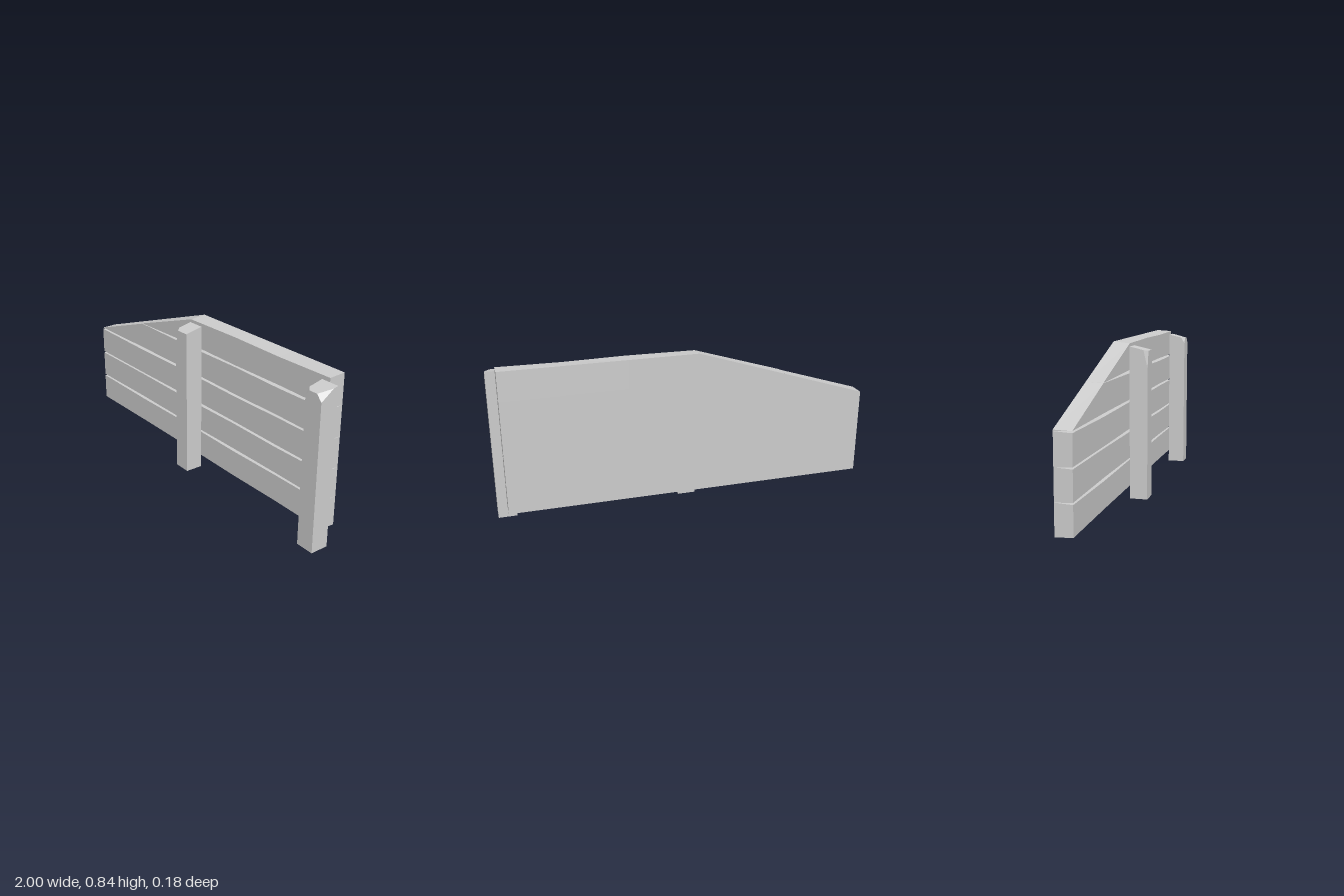
import * as THREE from 'three';
import { ConvexGeometry } from 'three/addons/geometries/ConvexGeometry.js';

const BACK = -0.092, FRONT = -0.005;
const material = new THREE.MeshStandardMaterial({ color: 0xcccccc, flatShading: true });

// Sloping cut across the top of the boards
const cutHeight = (x) => Math.min(0.84, 0.535 + (x + 1) * 0.328);

// Board lofted along x; its front edges draw in a little, leaving a wedge-shaped gap
function boardGeometry(low, high, stations, index) {
  const sections = stations.map((x, i) => {
    const middle = i > 0 && i < stations.length - 1;
    const gapTop = 0.005 + (middle && (i + index) % 2 ? 0.004 : 0);
    const gapLow = 0.005 + (middle && (i + index) % 3 ? 0.003 : 0);
    const top = Math.min(high, cutHeight(x));
    const frontTop = Math.min(high - gapTop, cutHeight(x) - 0.003);
    const frontLow = Math.min(low + gapLow, frontTop);
    return [[x, low, BACK], [x, top, BACK], [x, frontTop, FRONT], [x, frontLow, FRONT]];
  });
  const points = [];
  const quad = (a, b, c, d) => points.push(...a, ...b, ...c, ...a, ...c, ...d);
  for (let i = 0; i < sections.length - 1; i++) {
    const a = sections[i], b = sections[i + 1];
    for (let j = 0; j < 4; j++) {
      const k = (j + 1) % 4;
      quad(a[j], a[k], b[k], b[j]);
    }
  }
  const first = sections[0], last = sections[sections.length - 1];
  quad(first[3], first[2], first[1], first[0]);
  quad(...last);
  const geometry = new THREE.BufferGeometry();
  geometry.setAttribute('position', new THREE.Float32BufferAttribute(points, 3));
  geometry.computeVertexNormals();
  return geometry;
}

// Square post with a sloping top and chipped front corners
function postGeometry(x0, x1, leftChip, rightChip) {
  const z0 = -0.004, z1 = 0.092;
  const topAt = (z) => 0.815 - (z - z0) * 0.229;
  const points = [];
  const add = (x, y, z) => points.push(new THREE.Vector3(x, y, z));
  for (const x of [x0, x1]) {
    add(x, 0, z0);
    add(x, 0, z1);
    add(x, topAt(z0), z0);
  }
  // Each chip replaces one corner by three points: across, down and back
  for (const [x, side, chip] of [[x0, 1, leftChip], [x1, -1, rightChip]]) {
    if (!chip) { add(x, topAt(z1), z1); continue; }
    const [across, down, back] = chip;
    add(x + side * across, topAt(z1), z1);
    add(x, topAt(z1) - down, z1);
    add(x, topAt(z1 - back), z1 - back);
  }
  return new ConvexGeometry(points);
}

export function createModel() {
  const group = new THREE.Group();
  const add = (name, geometry) => {
    const mesh = new THREE.Mesh(geometry, material);
    mesh.name = name;
    group.add(mesh);
  };

  // Five stacked boards, the upper two cut by the slope
  const levels = [0.062, 0.217, 0.372, 0.528, 0.684, 0.84];
  const stations = [-1, -0.546, -0.07, 0.3, 0.62, 0.95];
  for (let i = 0; i < 5; i++) {
    add(`board${i + 1}`, boardGeometry(levels[i], levels[i + 1], i === 4 ? stations.slice(1) : stations, i));
  }

  // Two posts in front of the boards
  add('middlePost', postGeometry(-0.075, 0.02, [0.022, 0.09, 0.022], null));
  add('endPost', postGeometry(0.902, 1, [0.022, 0.03, 0.022], [0.028, 0.033, 0.07]));
  return group;
}
